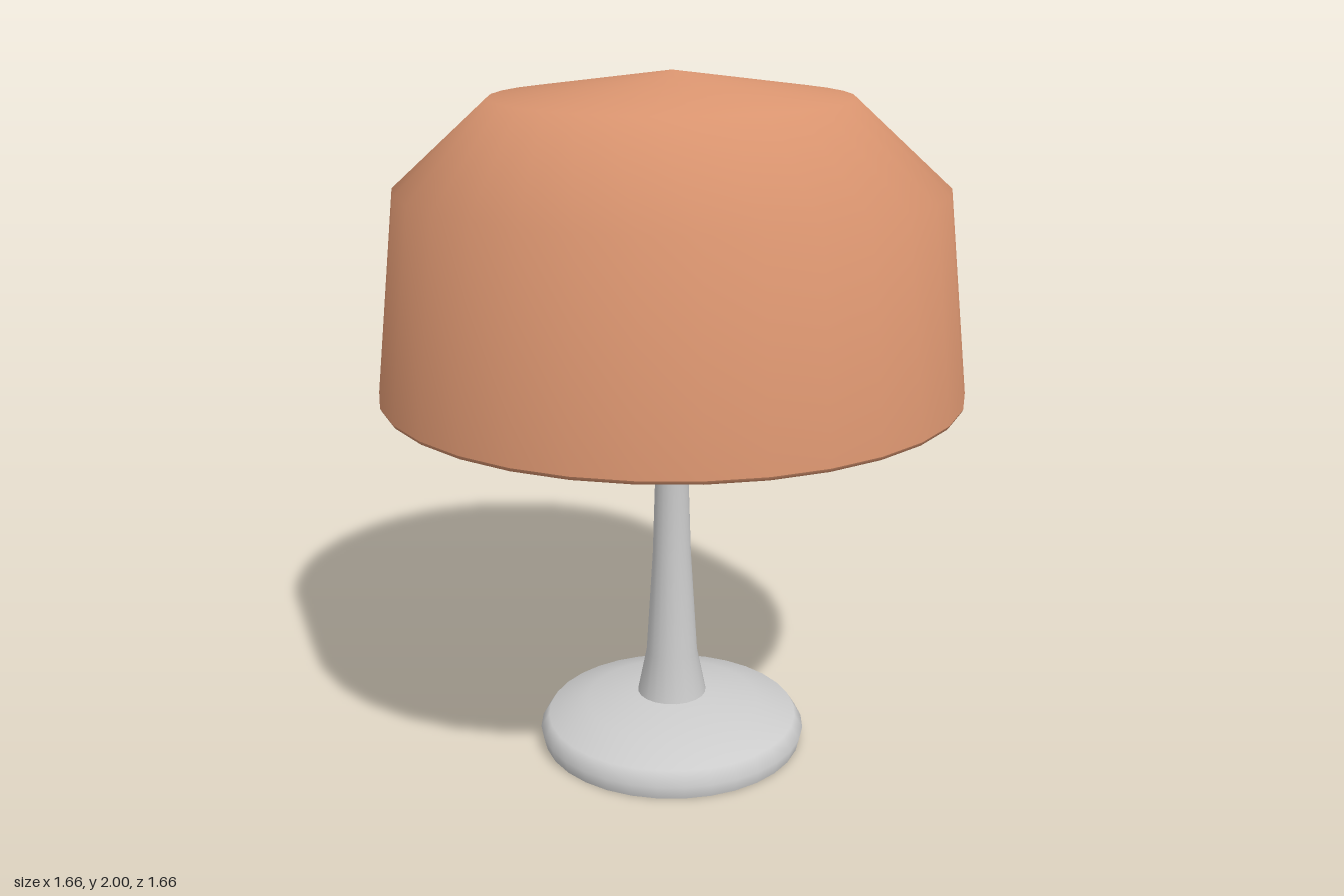
import * as THREE from 'three';

const metal = new THREE.MeshStandardMaterial({ color: 0xcccccc });
const shadeMat = new THREE.MeshStandardMaterial({ color: 0xd9946f });
const bulbMat = new THREE.MeshStandardMaterial({ color: 0xeee0bb });

// One smooth turned surface; splitting profiles keeps the edge between them sharp
function turned(name, profile, material, sides) {
  const points = profile.map(([r, y]) => new THREE.Vector2(r, y));
  const mesh = new THREE.Mesh(new THREE.LatheGeometry(points, sides), material);
  mesh.name = name;
  return mesh;
}

export function createModel() {
  const lamp = new THREE.Group();
  lamp.name = 'tableLamp';

  // Foot: rounded disc with a flat underside
  const base = new THREE.Group();
  base.name = 'base';
  base.add(
    turned('baseUnderside', [[0, 0], [0.39, 0]], metal, 32),
    turned('baseTop', [[0.39, 0], [0.4, 0.04], [0.375, 0.08], [0.26, 0.117], [0.12, 0.148], [0, 0.15]], metal, 32),
  );

  // Stem: waisted column flaring at both ends
  const stem = turned('stem',
    [[0.105, 0.14], [0.077, 0.28], [0.057, 0.6], [0.046, 0.94], [0.07, 1.1], [0.07, 1.15]], metal, 20);

  // Bulb: flattened globe under the shade
  const bulb = new THREE.Mesh(new THREE.SphereGeometry(0.275, 12, 8), bulbMat);
  bulb.name = 'bulb';
  bulb.scale.y = 0.5;
  bulb.position.y = 1.23;

  // Shade: faceted dome with a thin wall
  const shade = new THREE.Group();
  shade.name = 'shade';
  shade.add(
    turned('shadeOuter', [[0.83, 1.115], [0.765, 1.69], [0.5, 1.93], [0, 2]], shadeMat, 32),
    turned('shadeRim', [[0.79, 1.115], [0.795, 1.105], [0.825, 1.105], [0.83, 1.115]], shadeMat, 32),
    turned('shadeInner', [[0, 1.96], [0.485, 1.895], [0.73, 1.67], [0.79, 1.115]], shadeMat, 32),
  );

  lamp.add(base, stem, bulb, shade);
  return lamp;
}
